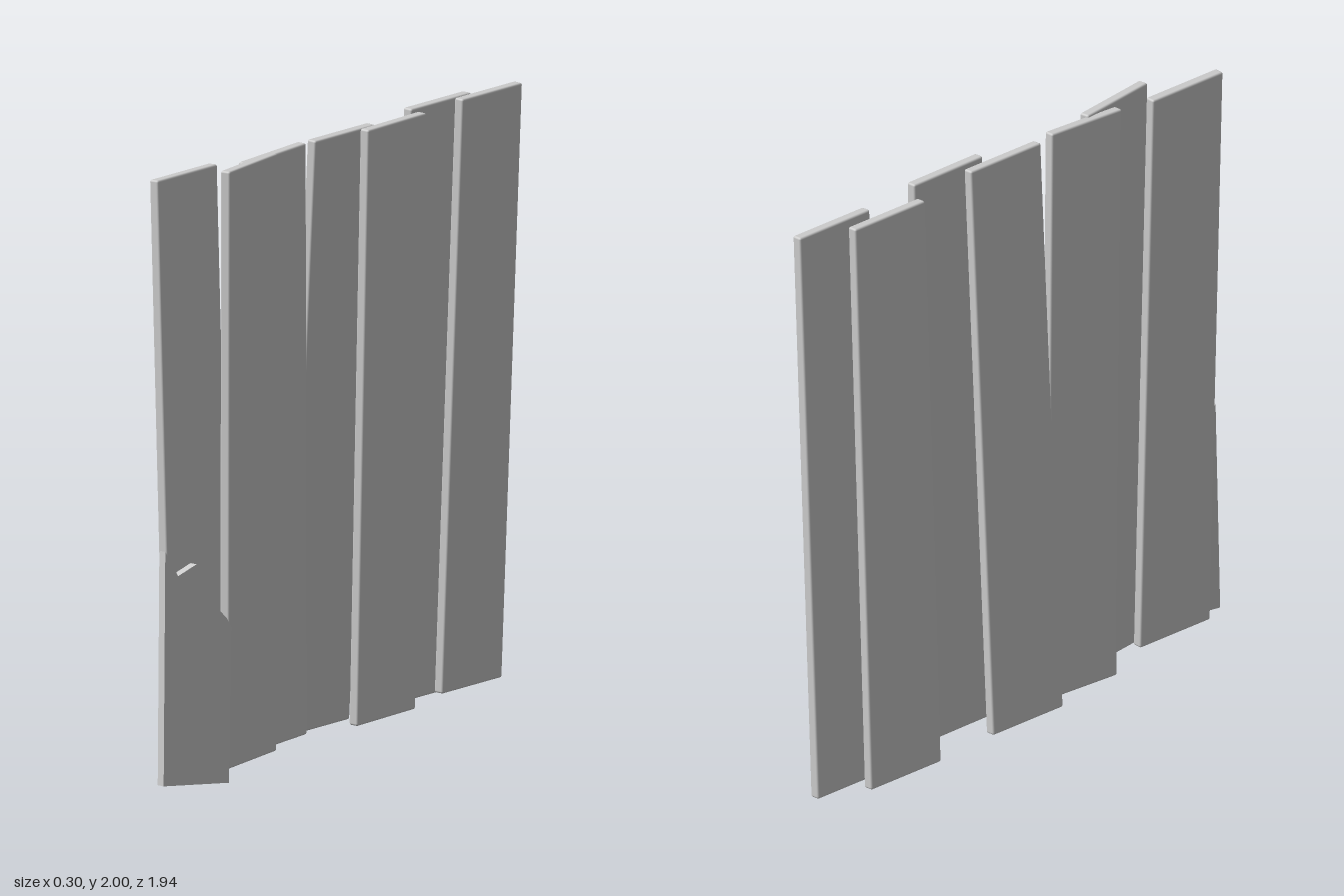
import * as THREE from 'three';
import { RoundedBoxGeometry } from 'three/addons/geometries/RoundedBoxGeometry.js';

const THICK = 0.035, WIDTH = 0.312;
const material = new THREE.MeshStandardMaterial({ color: 0xcccccc });

// A board whose centreline runs from bottom to top, turned about that line by yaw
function plank(name, bottom, top, yaw = 0) {
  const a = new THREE.Vector3(...bottom), b = new THREE.Vector3(...top);
  const up = b.clone().sub(a);
  const length = up.length();
  up.normalize();
  const across = new THREE.Vector3(Math.sin(yaw), 0, Math.cos(yaw));
  across.addScaledVector(up, -across.dot(up)).normalize();
  const face = new THREE.Vector3().crossVectors(up, across);
  const mesh = new THREE.Mesh(new RoundedBoxGeometry(THICK, length, WIDTH, 2, 0.007), material);
  mesh.quaternion.setFromRotationMatrix(new THREE.Matrix4().makeBasis(face, up, across));
  mesh.position.copy(a).add(b).multiplyScalar(0.5);
  mesh.name = name;
  return mesh;
}

// Short board with a splintered upper end, leaning on the row
function brokenPlank() {
  const outline = [
    [0, 0.025], [0.252, 0.006], [0.257, 0.51], [0.24, 0.54],
    [0.173, 0.61], [0.121, 0.73], [0.05, 0.70], [0, 0.785],
  ].map(p => new THREE.Vector2(...p));
  const geometry = new THREE.ExtrudeGeometry(new THREE.Shape(outline), { depth: THICK, bevelEnabled: false });
  geometry.translate(0, 0, -THICK);
  // Turn the board and tip it back
  geometry.applyMatrix4(new THREE.Matrix4().makeBasis(
    new THREE.Vector3(0.316, 0, -0.95),
    new THREE.Vector3(-0.05, 1, -0.075),
    new THREE.Vector3(0.947, 0.07, 0.316),
  ).setPosition(0.07, 0, 0.97));
  geometry.computeVertexNormals();
  const mesh = new THREE.Mesh(geometry, material);
  mesh.name = 'brokenPlank';
  return mesh;
}

export function createModel() {
  const group = new THREE.Group();
  group.name = 'plankWall';
  // Bottom centre, top centre, yaw; listed from back to front
  const boards = [
    [[-0.082, 0.022, -0.812], [0.002, 2.0, -0.812], 0],
    [[-0.137, 0.012, -0.626], [-0.062, 1.992, -0.626], 0],
    [[-0.016, 0.02, -0.28], [0.036, 2.0, -0.272], 0.02],
    [[-0.117, 0.013, -0.062], [-0.013, 1.994, -0.062], 0],
    [[-0.062, 0.016, 0.231], [-0.002, 1.994, 0.311], 0],
    [[0.038, 0.024, 0.488], [0.042, 2.0, 0.488], 0.145],
    [[0.018, 0.018, 0.724], [-0.042, 1.998, 0.724], 0],
  ];
  boards.forEach(([bottom, top, yaw], i) => group.add(plank(`plank${i + 1}`, bottom, top, yaw)));
  group.add(brokenPlank());
  return group;
}
